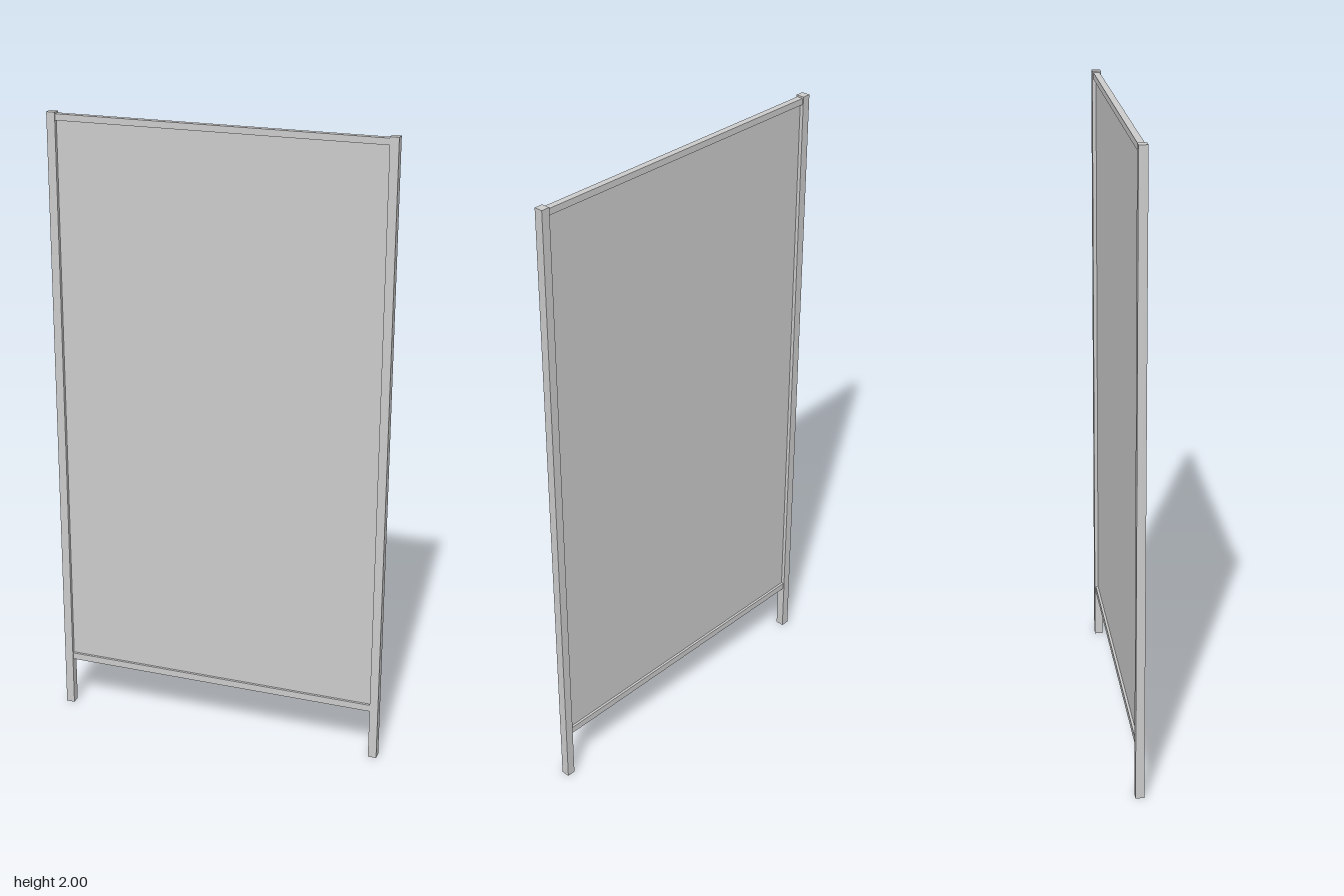
import * as THREE from 'three';

export function createModel() {
  const group = new THREE.Group();
  const material = new THREE.MeshStandardMaterial({ color: 0xcccccc, flatShading: true });

  function box(name, w, h, d, x, y) {
    const mesh = new THREE.Mesh(new THREE.BoxGeometry(w, h, d), material);
    mesh.name = name;
    mesh.position.set(x, y, 0);
    group.add(mesh);
  }

  const halfWidth = 0.541, post = 0.027, inner = halfWidth - post;

  // Upright posts, running past the panel to form the legs
  for (const side of [1, -1]) {
    box(side > 0 ? 'leftPost' : 'rightPost', post, 2, post, side * (halfWidth - post / 2), 1);
  }

  // Horizontal rails, slightly thinner than the posts
  box('topRail', inner * 2, 0.02, 0.02, 0, 1.985);
  box('bottomRail', inner * 2, 0.022, 0.02, 0, 0.174);

  // Thin infill panel recessed in the frame
  box('panel', inner * 2, 1.79, 0.004, 0, 1.08);

  return group;
}
